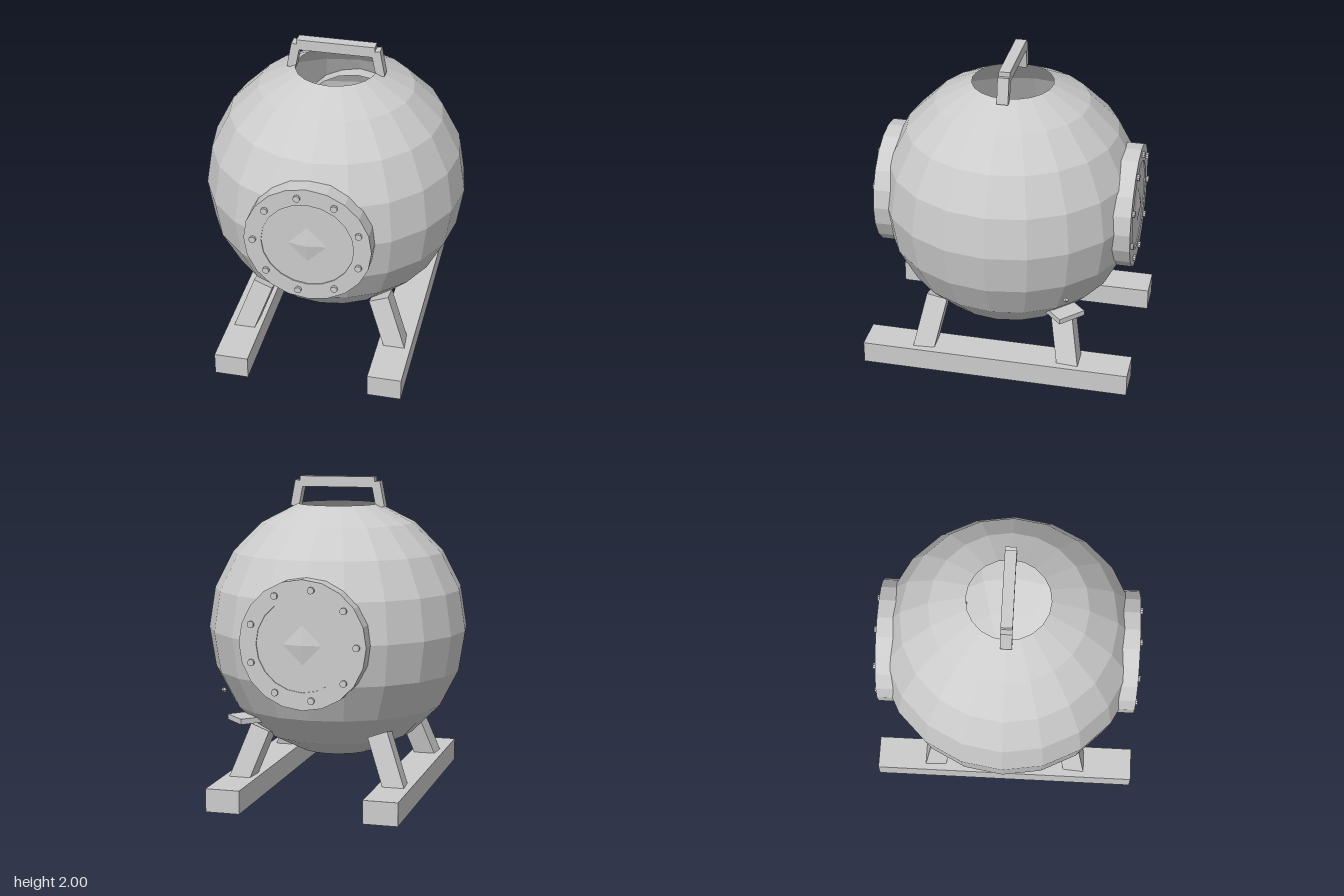
import * as THREE from 'three';

const steel = new THREE.MeshStandardMaterial({ color: 0xcccccc, flatShading: true });
steel.name = 'steelGrey';
const shellSteel = steel.clone();
shellSteel.name = 'shellGrey';
shellSteel.side = THREE.DoubleSide;

const R = 0.825, CY = 1.045;

function add(parent, name, geometry, x = 0, y = 0, z = 0, material = steel) {
  const mesh = new THREE.Mesh(geometry, material);
  mesh.name = name;
  mesh.position.set(x, y, z);
  parent.add(mesh);
  return mesh;
}

// Round hatch facing +z, with a shallow recessed face and a ring of nine bolts
function makeHatch(name, startAngle) {
  const hatch = new THREE.Group();
  hatch.name = name;
  const profile = [[0.393, 0.62], [0.393, 0.813], [0.285, 0.813], [0.285, 0.806], [0, 0.806]]
    .map(([r, h]) => new THREE.Vector2(r, h));
  add(hatch, 'hatchCover', new THREE.LatheGeometry(profile, 20).rotateX(Math.PI / 2));
  add(hatch, 'hatchCentre', new THREE.ConeGeometry(0.03, 0.012, 4).rotateX(Math.PI / 2), 0, 0, 0.812);
  const bolt = new THREE.CylinderGeometry(0.021, 0.021, 0.03, 10).rotateX(Math.PI / 2);
  for (let i = 0; i < 9; i++) {
    const a = startAngle + (i * Math.PI * 2) / 9;
    add(hatch, 'bolt', bolt, Math.cos(a) * 0.335, Math.sin(a) * 0.335, 0.815);
  }
  hatch.position.y = CY;
  return hatch;
}

export function createModel() {
  const model = new THREE.Group();
  model.name = 'sphericalVessel';

  // Faceted shell, open at the top
  const cap = Math.PI / 10;
  add(model, 'shell', new THREE.SphereGeometry(R, 20, 9, 0, Math.PI * 2, cap, Math.PI - cap),
    0, CY, 0, shellSteel);

  // Hatches
  model.add(makeHatch('frontHatch', Math.PI));
  const back = makeHatch('backHatch', 0);
  back.rotation.y = Math.PI;
  model.add(back);

  // Carrying handle
  add(model, 'handleBar', new THREE.BoxGeometry(0.486, 0.067, 0.07), 0, 1.9665, 0);
  for (const s of [-1, 1]) {
    const post = add(model, 'handlePost', new THREE.BoxGeometry(0.056, 0.165, 0.07), s * 0.264, 1.89, 0);
    post.rotation.z = s * 0.19;
  }

  // Skids and splayed legs
  const legGeometry = new THREE.BoxGeometry(0.128, 0.4, 0.135).translate(0, -0.045, 0);
  for (const sx of [-1, 1]) {
    add(model, 'skid', new THREE.BoxGeometry(0.215, 0.145, 1.72), sx * 0.4925, 0.0725, 0);
    for (const sz of [-1, 1]) {
      const leg = add(model, 'leg', legGeometry, sx * 0.43, 0.3, sz * 0.437);
      leg.rotation.set(-sz * 0.2, 0, sx * 0.35);
    }
  }

  // Small ledge and stud low on the rear left
  const ledge = add(model, 'ledge', new THREE.BoxGeometry(0.16, 0.035, 0.187), 0.483, 0.502, -0.436);
  ledge.rotation.y = Math.PI / 4;
  add(model, 'stud', new THREE.OctahedronGeometry(0.02), 0.615, 0.68, -0.465);

  return model;
}
